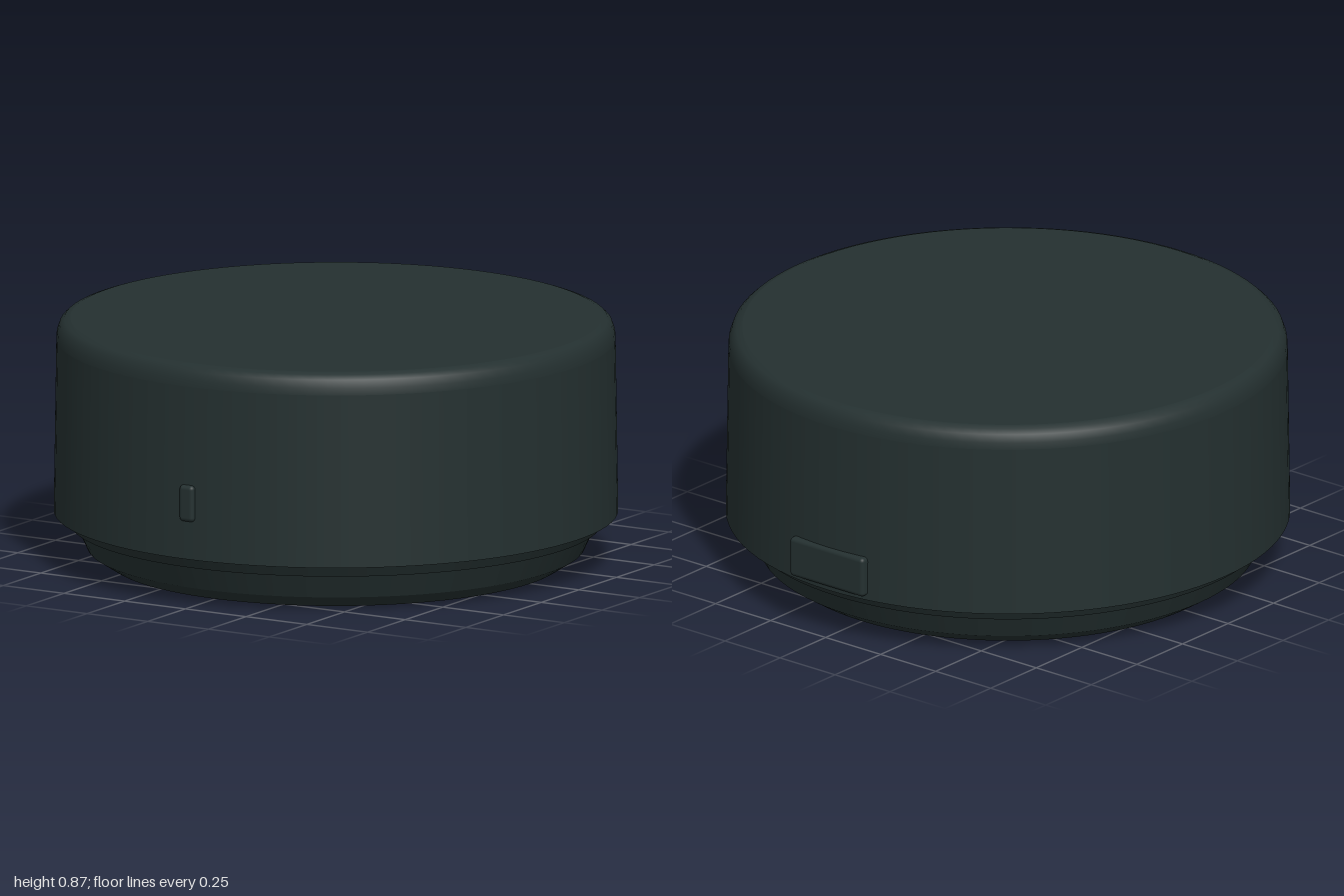
import * as THREE from 'three';
import { RoundedBoxGeometry } from 'three/addons/geometries/RoundedBoxGeometry.js';

export function createModel() {
  const model = new THREE.Group();
  const casing = new THREE.MeshStandardMaterial({ color: 0x243030 });
  casing.name = 'dark green grey';

  // Each run of points is one smooth surface; edges between runs stay sharp.
  function turned(name, runs) {
    const group = new THREE.Group();
    group.name = name;
    runs.forEach((run, i) => {
      const points = run.map(([r, y]) => new THREE.Vector2(r, y));
      const mesh = new THREE.Mesh(new THREE.LatheGeometry(points, 96), casing);
      mesh.name = `${name}Surface${i + 1}`;
      group.add(mesh);
    });
    model.add(group);
  }

  // Chamfered foot with a flat underside
  turned('foot', [
    [[0, 0], [0.8, 0]],
    [[0.8, 0], [0.87, 0.045]],
    [[0.87, 0.045], [0.91, 0.132]],
  ]);

  // Stepped collar between foot and casing
  turned('collar', [
    [[0.9, 0.132], [0.93, 0.132]],
    [[0.93, 0.132], [0.955, 0.178]],
  ]);

  // Slightly tapered casing with a rounded top rim
  turned('casing', [
    [[0.94, 0.175], [0.988, 0.175]],
    [[0.988, 0.175], [0.979, 0.79]],
    [[0.979, 0.79], [0.977, 0.815], [0.967, 0.843], [0.951, 0.858], [0.93, 0.865]],
    [[0.93, 0.865], [0, 0.865]],
  ]);

  // Raised details let into the side wall
  function raised(name, width, height, y, side) {
    const depth = 0.06;
    const mesh = new THREE.Mesh(new RoundedBoxGeometry(width, height, depth, 3, 0.015), casing);
    mesh.name = name;
    mesh.position.set(0, y, side * (1 - depth / 2));
    model.add(mesh);
  }
  raised('frontButton', 0.06, 0.13, 0.375, 1);
  raised('backPortCover', 0.335, 0.145, 0.263, -1);

  return model;
}
